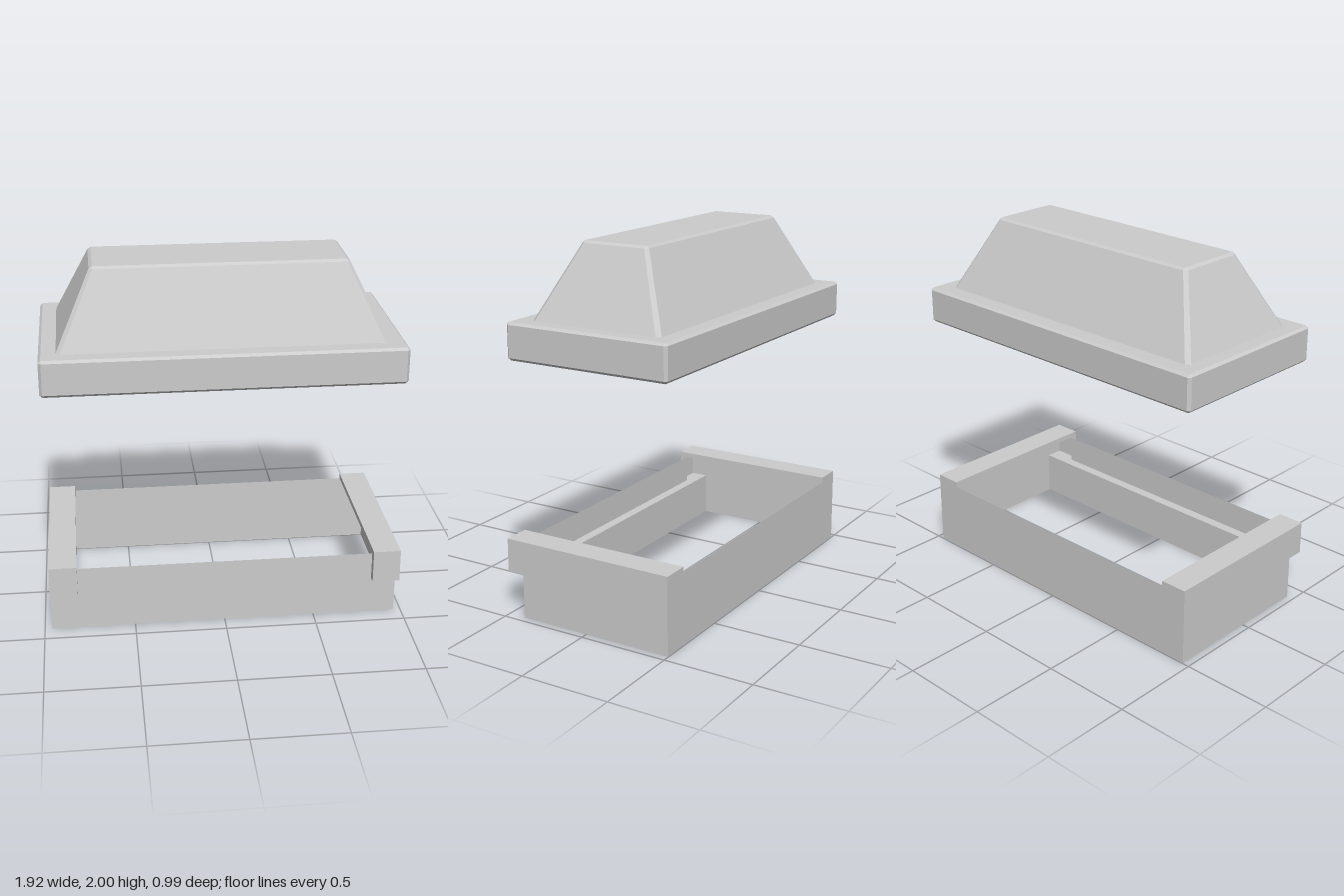
import * as THREE from 'three';

const material = new THREE.MeshStandardMaterial({ color: 0xcccccc, flatShading: true, side: THREE.DoubleSide });

function addMesh(parent, name, geometry) {
  const mesh = new THREE.Mesh(geometry, material);
  mesh.name = name;
  parent.add(mesh);
  return mesh;
}

// Closed solid lofted through rectangles with cut corners: [y, halfX, halfZ, cut]
function chamferedLoft(rings) {
  const positions = [];
  const loops = rings.map(([y, x, z, c]) => [
    [x, z - c], [x - c, z], [c - x, z], [-x, z - c],
    [-x, c - z], [c - x, -z], [x - c, -z], [x, c - z],
  ].map(([px, pz]) => [px, y, pz]));
  for (let r = 0; r < loops.length - 1; r++) {
    for (let i = 0; i < 8; i++) {
      const j = (i + 1) % 8;
      const [a, b, c, d] = [loops[r][i], loops[r][j], loops[r + 1][j], loops[r + 1][i]];
      positions.push(...a, ...d, ...b, ...b, ...d, ...c);
    }
  }
  const bottom = loops[0], top = loops[loops.length - 1];
  for (let i = 1; i < 7; i++) {
    positions.push(...bottom[0], ...bottom[i], ...bottom[i + 1]);
    positions.push(...top[0], ...top[i + 1], ...top[i]);
  }
  const geometry = new THREE.BufferGeometry();
  geometry.setAttribute('position', new THREE.Float32BufferAttribute(positions, 3));
  geometry.computeVertexNormals();
  return geometry;
}

// Thin upright panel facing front, spanning x0..x1 and y0..y1 at depth z
function frontPanel(x0, x1, y0, y1, z) {
  return new THREE.PlaneGeometry(x1 - x0, y1 - y0).translate((x0 + x1) / 2, (y0 + y1) / 2, z);
}

// Thin level panel facing up, spanning x0..x1 and z0..z1 at height y
function levelPanel(x0, x1, z0, z1, y) {
  return new THREE.PlaneGeometry(x1 - x0, z1 - z0).rotateX(-Math.PI / 2)
    .translate((x0 + x1) / 2, y, (z0 + z1) / 2);
}

// Thin side panel at x from a [z, y] outline
function sidePanel(outline, x) {
  const shape = new THREE.Shape(outline.map(([z, y]) => new THREE.Vector2(-z, y)));
  return new THREE.ShapeGeometry(shape).rotateY(Math.PI / 2).translate(x, 0, 0);
}

export function createModel() {
  const model = new THREE.Group();
  model.name = 'boxWithRaisedLid';

  // Raised lid: bevelled slab with a tapered top
  const lid = new THREE.Group();
  lid.name = 'lid';
  lid.position.z = -0.014;
  model.add(lid);
  addMesh(lid, 'lidSlab', chamferedLoft([
    [1.4, 0.94, 0.463, 0.002],
    [1.415, 0.956, 0.478, 0.015],
    [1.587, 0.956, 0.478, 0.015],
    [1.6, 0.942, 0.464, 0.002],
  ]));
  addMesh(lid, 'taperedTop', chamferedLoft([
    [1.598, 0.866, 0.384, 0.022],
    [1.988, 0.68, 0.198, 0.018],
    [2.0, 0.663, 0.182, 0.003],
  ]));

  // Open thin-walled tray below
  const tray = new THREE.Group();
  tray.name = 'tray';
  model.add(tray);
  const W = 0.96, inner = 0.81;
  const back = -0.497, front = 0.4, lip = 0.455, capFront = 0.497;
  const ledgeY = 0.245, rimY = 0.4, capY = 0.43;

  addMesh(tray, 'backWall', frontPanel(-W, W, 0, rimY, back));
  addMesh(tray, 'frontWall', frontPanel(-W, W, 0, ledgeY, front));
  addMesh(tray, 'frontLedge', levelPanel(-inner, inner, front, lip, ledgeY));
  addMesh(tray, 'frontLip', frontPanel(-inner, inner, ledgeY, rimY, lip));

  // End walls with their overhanging caps
  for (const s of [1, -1]) {
    const end = new THREE.Group();
    end.name = s > 0 ? 'leftEnd' : 'rightEnd';
    tray.add(end);
    const x0 = Math.min(s * inner, s * W), x1 = Math.max(s * inner, s * W);
    addMesh(end, 'endWall', sidePanel([
      [back, 0], [front, 0], [front, ledgeY], [capFront, ledgeY], [capFront, capY], [back, capY],
    ], s * W));
    addMesh(end, 'capTop', levelPanel(x0, x1, back, capFront, capY));
    addMesh(end, 'capFront', frontPanel(x0, x1, ledgeY, capY, capFront));
    addMesh(end, 'capBack', frontPanel(x0, x1, rimY, capY, back));
    addMesh(end, 'capLedge', levelPanel(x0, x1, front, capFront, ledgeY));
    addMesh(end, 'capInnerEdge', sidePanel([
      [back, rimY], [lip, rimY], [lip, ledgeY], [capFront, ledgeY], [capFront, capY], [back, capY],
    ], s * inner));
  }
  return model;
}
